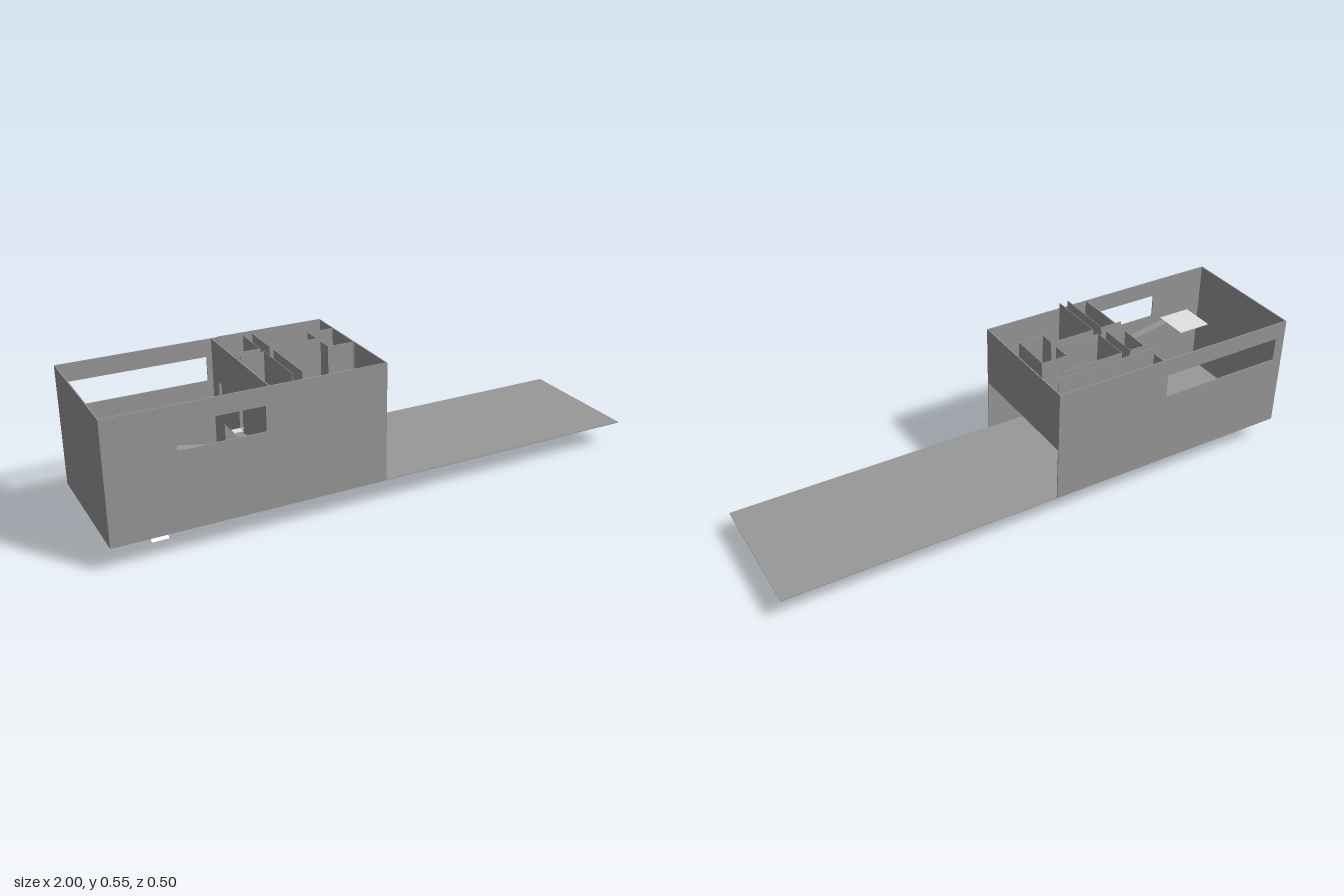
import * as THREE from 'three';

export function createModel() {
  const model = new THREE.Group();
  const grey = new THREE.MeshStandardMaterial({ color: 0x999999 });
  grey.name = 'wall grey';
  const white = new THREE.MeshStandardMaterial({ color: 0xe2e2e2 });
  white.name = 'path white';
  const T = 0.004; // wall thickness

  // Box given by its limits on each axis
  function slab(name, mat, [x0, x1], [y0, y1], [z0, z1], parent = model) {
    const m = new THREE.Mesh(new THREE.BoxGeometry(x1 - x0, y1 - y0, z1 - z0), mat);
    m.position.set((x0 + x1) / 2, (y0 + y1) / 2, (z0 + z1) / 2);
    m.name = name;
    parent.add(m);
    return m;
  }

  // Upright wall in its own plane, with rectangular holes [u0, u1, v0, v1]
  function wall(name, u0, u1, v0, v1, holes) {
    const rect = (s, a, b, c, d) => s.moveTo(a, c).lineTo(b, c).lineTo(b, d).lineTo(a, d).lineTo(a, c);
    const shape = rect(new THREE.Shape(), u0, u1, v0, v1);
    for (const h of holes) shape.holes.push(rect(new THREE.Path(), ...h));
    const m = new THREE.Mesh(new THREE.ExtrudeGeometry(shape, { depth: T, bevelEnabled: false }), grey);
    m.name = name;
    model.add(m);
    return m;
  }

  // Thin sloping strip through four corners
  function ramp(name, mat, corners) {
    const g = new THREE.BufferGeometry();
    g.setAttribute('position', new THREE.Float32BufferAttribute(corners.flat(), 3));
    g.setIndex([0, 1, 2, 0, 2, 3]);
    g.computeVertexNormals();
    const m = new THREE.Mesh(g, mat);
    m.name = name;
    model.add(m);
  }

  // Ground slab and outer shell
  const Z = 0.249, base = 0.09, top = 0.525, end = -0.025, mid = -0.45;
  slab('ground', grey, [-1, 1], [base, base + 0.003], [-Z, Z]);
  wall('frontWall', -1, end, base, top, [[-0.765, -0.465, 0.37, 0.46]]).position.z = Z - T;
  wall('backWall', -1, end, base, top, [[-0.96, -0.472, 0.37, 0.46]]).position.z = -Z;
  slab('leftEndWall', grey, [-1, -1 + T], [base, top], [-Z, Z]);
  slab('raisedEndWall', grey, [end - T, end], [0.297, top], [-Z, Z]);

  // Dividing wall, with a low opening and two doorways to the walkways (u runs along -z)
  const divider = wall('dividingWall', -Z, Z, base, top, [
    [-0.173, 0.155, 0.094, 0.234],
    [-0.02, 0.01, 0.277, 0.38],
    [0.165, 0.19, 0.277, 0.38],
  ]);
  divider.rotation.y = Math.PI / 2;
  divider.position.x = mid - T / 2;

  // Raised walkways and rooms
  const deck = [0.272, 0.276];
  slab('bridge', white, [-0.835, -0.09], deck, [-0.195, -0.163]);
  slab('crossWalkway', white, [-0.485, -0.155], deck, [-0.012, 0.018]);
  slab('lengthWalkway', white, [-0.365, -0.332], [0.2722, 0.2762], [-0.163, 0.232]);
  slab('smallRoomFloor', white, [-0.155, -0.06], deck, [-0.083, 0.073]);
  slab('squarePlatform', white, [-0.923, -0.79], [0.361, 0.365], [0.09, 0.224]);

  // Thin walls flanking the walkways
  const inner = new THREE.Group();
  inner.name = 'walkwayWalls';
  model.add(inner);
  const h = [0.274, 0.549], t = 0.001;
  const alongX = (z, x0, x1) => slab('walkwayWall', grey, [x0, x1], h, [z - t, z + t], inner);
  const alongZ = (x, z0, z1) => slab('walkwayWall', grey, [x - t, x + t], h, [z0, z1], inner);
  alongX(-0.19, mid, -0.055);
  alongX(-0.16, mid, -0.366);
  alongX(-0.16, -0.331, -0.09);
  for (const z of [-0.013, 0.019]) {
    alongX(z, mid, -0.366);
    alongX(z, -0.331, -0.156);
  }
  for (const x of [-0.366, -0.331]) {
    alongZ(x, -0.16, -0.013);
    alongZ(x, 0.019, 0.243);
  }
  alongZ(-0.156, -0.083, -0.013);
  alongZ(-0.156, 0.019, 0.076);
  alongZ(-0.059, -0.08, 0.078);
  for (const z of [-0.081, 0.076]) alongX(z, -0.156, -0.059);

  // Ramps
  const whiteBoth = white;
  whiteBoth.side = THREE.DoubleSide;
  grey.side = THREE.DoubleSide;
  ramp('entryRamp', whiteBoth, [[-0.83, 0, 0.121], [-0.77, 0, 0.121], [-0.77, 0.276, -0.163], [-0.83, 0.276, -0.163]]);
  ramp('lowerGangway', grey, [[-0.49, 0.31, 0.21], [-0.46, 0.31, 0.21], [-0.46, 0.275, 0.018], [-0.49, 0.275, 0.018]]);
  ramp('upperGangway', grey, [[-0.79, 0.364, 0.21], [-0.49, 0.31, 0.21], [-0.49, 0.31, 0.18], [-0.79, 0.364, 0.18]]);

  return model;
}
